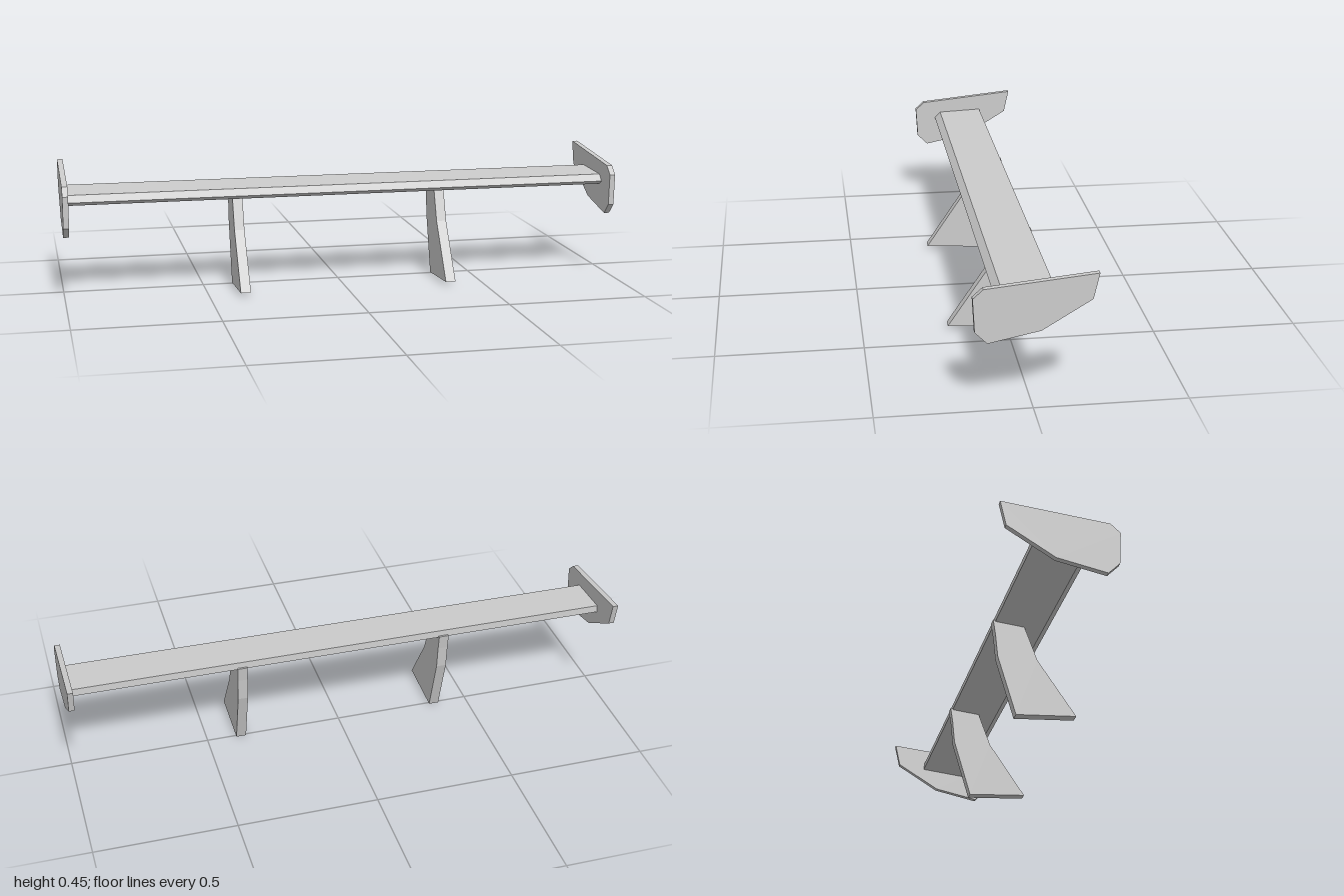
import * as THREE from 'three';

const material = new THREE.MeshStandardMaterial({ color: 0xcccccc, flatShading: true });

// Extrudes a [z, y] side profile along x, centred on the given x.
function sidePart(name, profile, width, x) {
  const shape = new THREE.Shape(profile.map(([z, y]) => new THREE.Vector2(z, y)));
  const geometry = new THREE.ExtrudeGeometry(shape, { depth: width, bevelEnabled: false });
  geometry.translate(0, 0, -width / 2);
  geometry.rotateY(-Math.PI / 2);
  const mesh = new THREE.Mesh(geometry, material);
  mesh.name = name;
  mesh.position.x = x;
  return mesh;
}

// Wing section with a pointed leading edge, tipped up at the rear
const bladeProfile = [
  [0.11, 0.345], [0.088, 0.368], [-0.077, 0.375], [-0.079, 0.349], [0.088, 0.331],
];

// Swept support, wide at the foot
const supportProfile = [
  [0.204, 0.015], [-0.008, 0.001], [-0.071, 0.215], [-0.079, 0.3],
  [-0.087, 0.355], [0.022, 0.345], [0.07, 0.213],
];

// End plate with clipped front corners and a raked tail
const plateProfile = [
  [0.19, 0.382], [0.157, 0.412], [-0.202, 0.447], [-0.183, 0.362],
  [-0.023, 0.265], [0.145, 0.231], [0.184, 0.27],
];

export function createModel() {
  const group = new THREE.Group();
  group.name = 'rearWing';
  group.add(sidePart('wingBlade', bladeProfile, 1.97, 0));
  for (const [side, sign] of [['left', 1], ['right', -1]]) {
    group.add(sidePart(`${side}Support`, supportProfile, 0.036, sign * 0.375));
    group.add(sidePart(`${side}EndPlate`, plateProfile, 0.02, sign * 0.99));
  }
  return group;
}
